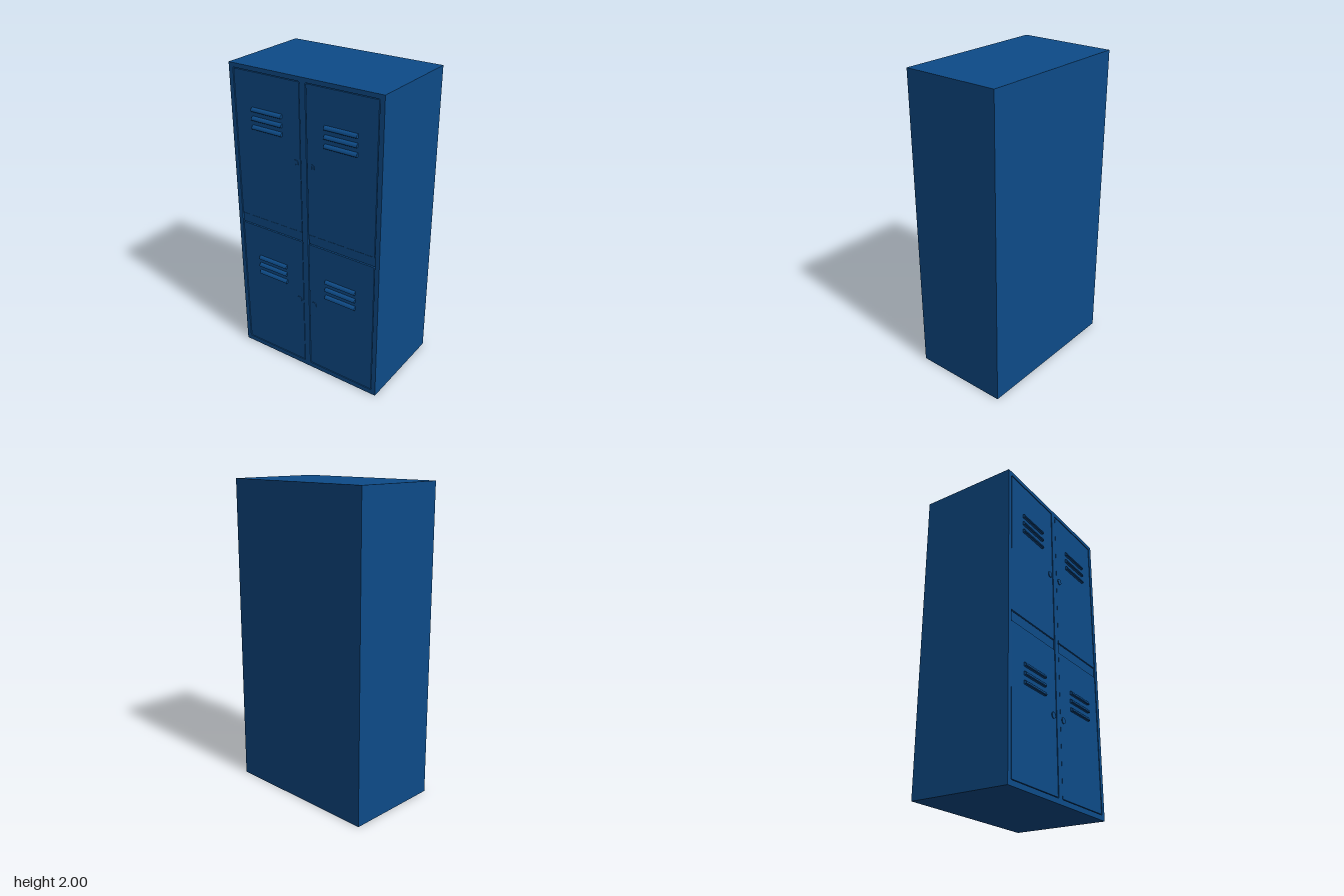
import * as THREE from 'three';

const FRONT = 0.312, BACK = -0.33, HALF = 0.53, DEPTH = 0.015;

// Rounded rectangle outline, usable as a shape or a hole
function rounded(path, x0, y0, x1, y1, r) {
  path.moveTo(x0 + r, y0);
  path.lineTo(x1 - r, y0);
  path.quadraticCurveTo(x1, y0, x1, y0 + r);
  path.lineTo(x1, y1 - r);
  path.quadraticCurveTo(x1, y1, x1 - r, y1);
  path.lineTo(x0 + r, y1);
  path.quadraticCurveTo(x0, y1, x0, y1 - r);
  path.lineTo(x0, y0 + r);
  path.quadraticCurveTo(x0, y0, x0 + r, y0);
  return path;
}

export function createModel() {
  const model = new THREE.Group();
  const blue = new THREE.MeshStandardMaterial({ color: 0x0d4b88 });
  blue.name = 'lockerBlue';

  function add(name, geometry, x, y, z) {
    const mesh = new THREE.Mesh(geometry, blue);
    mesh.name = name;
    mesh.position.set(x, y, z);
    model.add(mesh);
    return mesh;
  }

  // Cabinet carcass behind the front frame
  const depth = FRONT - DEPTH - BACK;
  add('cabinet', new THREE.BoxGeometry(HALF * 2, 2, depth), 0, 1, BACK + depth / 2);

  // Front frame with one tall opening per column
  const frame = new THREE.Shape();
  frame.moveTo(-HALF, 0);
  frame.lineTo(HALF, 0);
  frame.lineTo(HALF, 2);
  frame.lineTo(-HALF, 2);
  frame.closePath();
  for (const x of [-0.5, 0.02]) {
    frame.holes.push(rounded(new THREE.Path(), x, 0.033, x + 0.48, 1.973, 0.008));
  }
  add('frontFrame', new THREE.ExtrudeGeometry(frame, { depth: DEPTH, bevelEnabled: false }),
    0, 0, FRONT - DEPTH);

  // Louvre hood: quarter-round above, undercut below
  const profile = new THREE.Shape();
  profile.moveTo(-0.005, 0);
  profile.lineTo(0.013, 0);
  profile.lineTo(0.018, 0.004);
  profile.quadraticCurveTo(0.016, 0.022, 0, 0.025);
  profile.lineTo(-0.005, 0.025);
  profile.closePath();
  const hood = new THREE.ExtrudeGeometry(profile, { depth: 0.22, bevelEnabled: false, curveSegments: 5 });
  hood.rotateY(-Math.PI / 2).translate(0.11, 0, 0);

  const lock = new THREE.CylinderGeometry(0.02, 0.02, 0.012, 20).rotateX(Math.PI / 2);
  const keySlot = new THREE.BoxGeometry(0.006, 0.018, 0.002);

  const rows = [
    { name: 'upper', y0: 1.022, y1: 1.968, vent: 1.73, lockY: 1.476 },
    { name: 'lower', y0: 0.038, y1: 0.953, vent: 0.715, lockY: 0.516 },
  ];
  for (const side of [-1, 1]) {
    const column = side > 0 ? 'Left' : 'Right';

    // Rail between the two doors, set back a little
    add('midRail' + column, new THREE.BoxGeometry(0.47, 0.06, 0.008), side * 0.26, 0.9875, FRONT - 0.011);

    for (const { name, y0, y1, vent, lockY } of rows) {
      // Door panel with a narrow gap all round
      const outline = rounded(new THREE.Shape(), -0.235, y0, 0.235, y1, 0.006);
      add(name + 'Door' + column, new THREE.ExtrudeGeometry(outline, { depth: 0.013, bevelEnabled: false }),
        side * 0.26, 0, FRONT - DEPTH);

      for (let i = 0; i < 3; i++) {
        add(name + 'Louvre' + column + (i + 1), hood, side * 0.26, vent - i * 0.055, FRONT - 0.002);
      }

      // Lock barrel and key slot beside the centre post
      add(name + 'Lock' + column, lock, side * 0.058, lockY, FRONT - 0.003);
      add(name + 'KeySlot' + column, keySlot, side * 0.058, lockY, FRONT + 0.003);
    }
  }
  return model;
}
